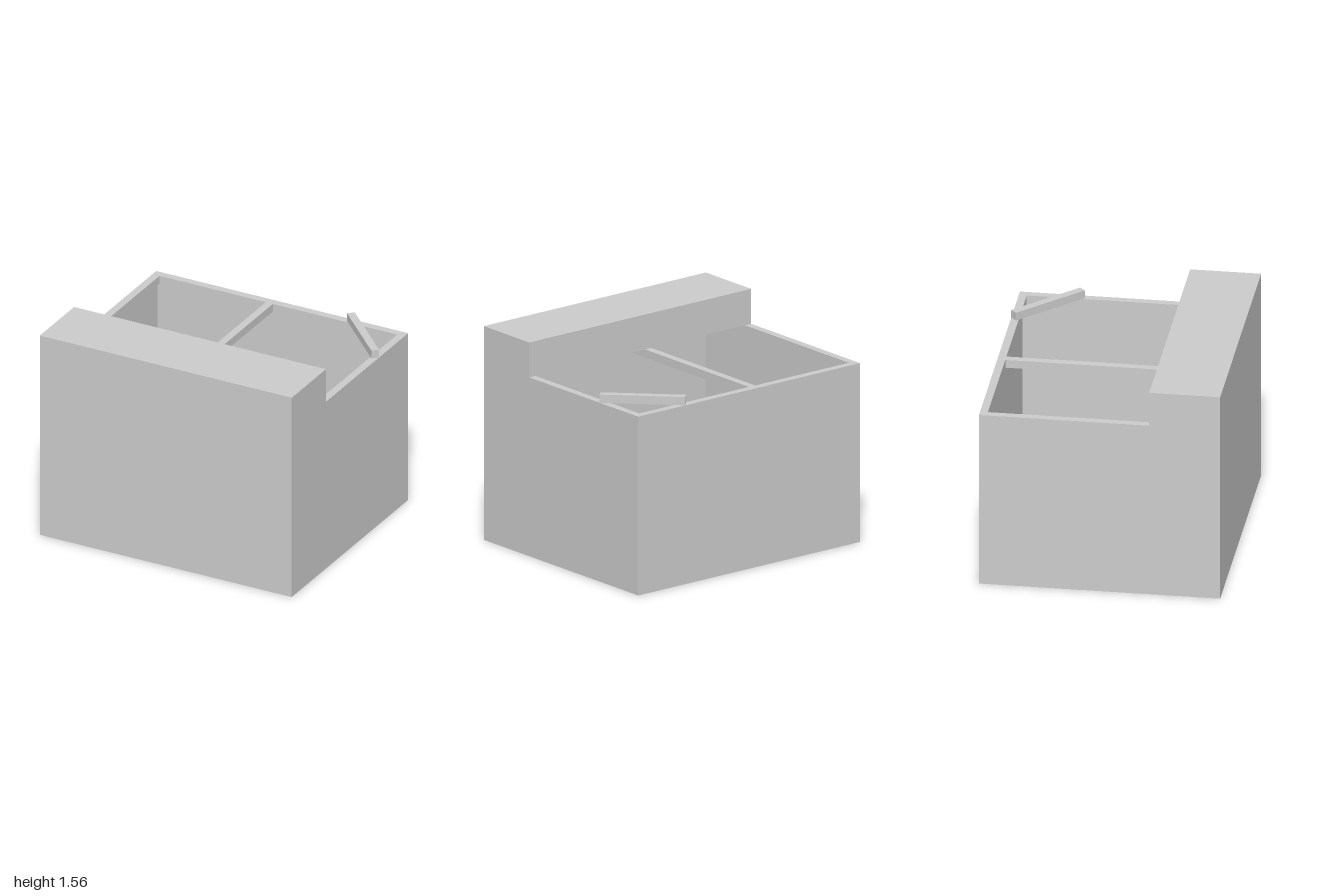
import * as THREE from 'three';

const W = 2, D = 1.7, LOW = 1.305, HIGH = 1.56; // overall width, depth, wall heights
const STEP = 0.35;                              // z where the raised front begins
const T = 0.02;                                 // panel thickness
const RAIL = 0.036, RAIL_H = 0.06;              // rails lining the panels

export function createModel() {
  const model = new THREE.Group();
  const material = new THREE.MeshStandardMaterial({ color: 0xcccccc, flatShading: true });

  const add = (name, geometry) => {
    const mesh = new THREE.Mesh(geometry, material);
    mesh.name = name;
    model.add(mesh);
    return mesh;
  };
  // Box given by its extents on each axis
  const box = (name, [x0, x1], [y0, y1], [z0, z1]) =>
    add(name, new THREE.BoxGeometry(x1 - x0, y1 - y0, z1 - z0))
      .position.set((x0 + x1) / 2, (y0 + y1) / 2, (z0 + z1) / 2);

  const hx = W / 2, hz = D / 2, ix = hx - T, iz = hz - T;
  const railY = [LOW - RAIL_H, LOW];

  // Stepped side panels, drawn in (z, y) and extruded along x
  const profile = new THREE.Shape([
    [-hz, 0], [hz, 0], [hz, HIGH], [STEP, HIGH], [STEP, LOW], [-hz, LOW],
  ].map(([z, y]) => new THREE.Vector2(-z, y)));
  for (const [name, x] of [['leftPanel', ix], ['rightPanel', -hx]]) {
    const geometry = new THREE.ExtrudeGeometry(profile, { depth: T, bevelEnabled: false });
    geometry.rotateY(Math.PI / 2);
    add(name, geometry).position.x = x;
  }

  // Front and back panels; the body is open underneath
  box('frontPanel', [-ix, ix], [0, HIGH], [iz, hz]);
  box('backPanel', [-ix, ix], [0, LOW], [-hz, -iz]);

  // Raised counter along the front
  box('frontCounter', [-ix, ix], [LOW, HIGH], [STEP, iz]);

  // Rails around the top of the walls
  box('backRail', [-ix, ix], railY, [-iz, -iz + RAIL]);
  box('frontRail', [-ix, ix], railY, [iz - RAIL, iz]);
  box('leftRail', [ix - RAIL, ix], railY, [-iz + RAIL, iz - RAIL]);
  box('rightRail', [-ix, -ix + RAIL], railY, [-iz + RAIL, iz - RAIL]);

  // Cross rail dividing the opening
  box('middleRail', [-0.1, -0.044], railY, [-iz + RAIL, iz - RAIL]);

  // Diagonal brace lying over the back left corner
  const brace = add('cornerBrace', new THREE.BoxGeometry(0.6, RAIL_H, 0.056));
  brace.position.set(0.768, LOW + RAIL_H / 2, -0.618);
  brace.rotation.y = -Math.PI / 4;

  return model;
}
